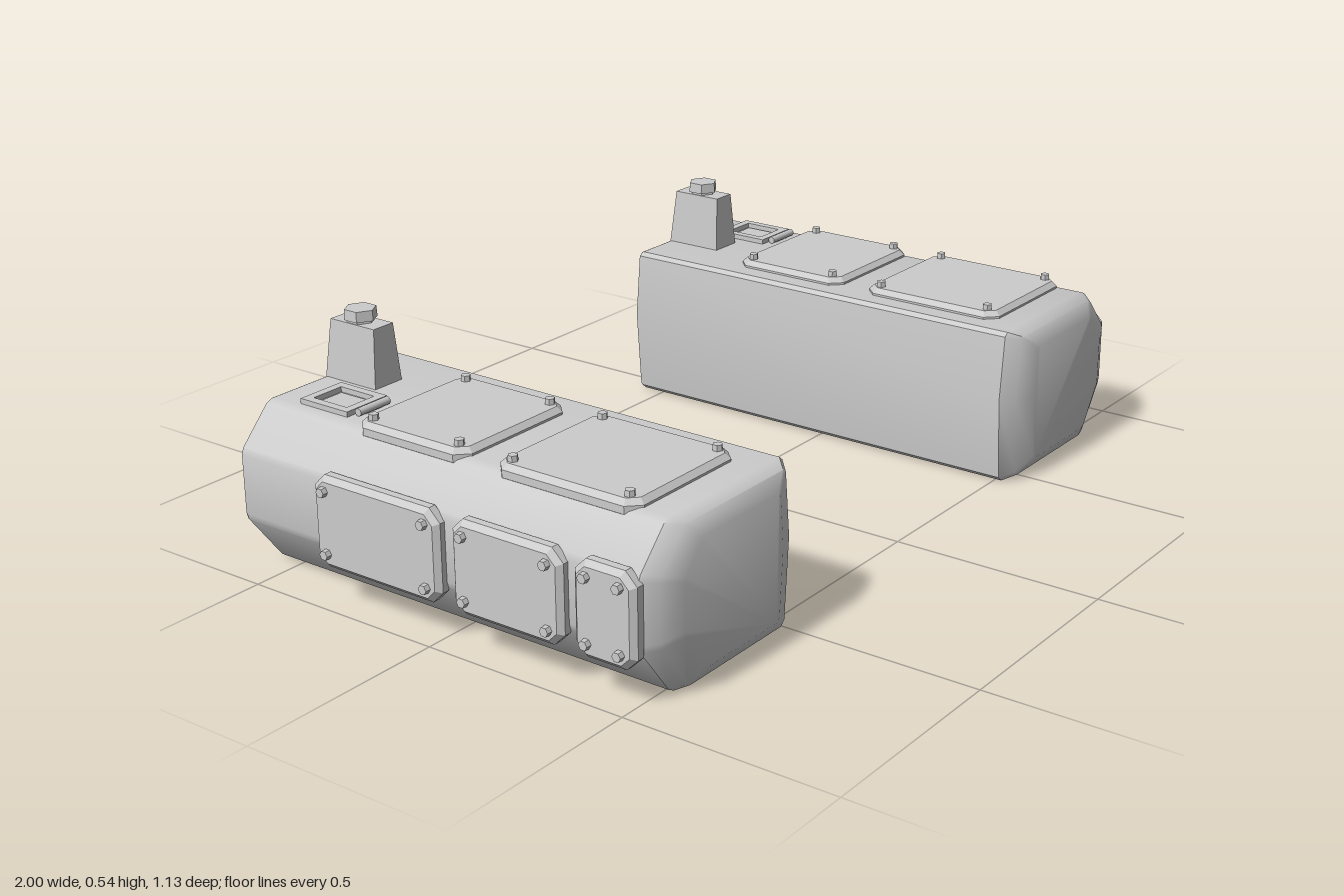
import * as THREE from 'three';
import { toCreasedNormals } from 'three/addons/utils/BufferGeometryUtils.js';

const grey = new THREE.MeshStandardMaterial({ color: 0xcccccc });

// Hull cross-section (x, y), counter-clockwise seen from the front
const SECTION = [
  [0.445, 0], [0.8, 0], [0.816, 0.008], [0.903, 0.123], [0.907, 0.138], [0.907, 0.275], [0.902, 0.289],
  [0.826, 0.369], [0.81, 0.376], [0.442, 0.376], [0.431, 0.367], [0.415, 0.21], [0.431, 0.012],
];
// Hull stations: z, x scale, y scale about the section centre
const STATIONS = [
  [-0.565, 0.988, 0.985], [-0.559, 1, 1], [0.515, 1, 1], [0.543, 0.88, 0.93], [0.564, 0.67, 0.76],
];

function hullGeometry() {
  const rings = STATIONS.map(([z, sx, sy]) =>
    SECTION.map(([x, y]) => [0.661 + (x - 0.661) * sx, 0.195 + (y - 0.195) * sy, z]));
  const n = SECTION.length, pos = [];
  const tri = (a, b, c) => pos.push(...a, ...b, ...c);
  for (let r = 0; r < rings.length - 1; r++) {
    for (let i = 0; i < n; i++) {
      const j = (i + 1) % n, a = rings[r], b = rings[r + 1];
      tri(a[i], a[j], b[j]);
      tri(a[i], b[j], b[i]);
    }
  }
  const back = rings[0], front = rings[rings.length - 1];
  for (let i = 1; i < n - 1; i++) {
    tri(front[0], front[i], front[i + 1]);
    tri(back[0], back[i + 1], back[i]);
  }
  const g = new THREE.BufferGeometry();
  g.setAttribute('position', new THREE.Float32BufferAttribute(pos, 3));
  return toCreasedNormals(g, 0.6);
}

// Plate with clipped corners and a bevelled rim, growing along +z from 0 to t
function plateGeometry(w, h, t, clip = 0.028) {
  const a = w / 2, b = h / 2, c = clip;
  const pts = [[-a + c, -b], [a - c, -b], [a, -b + c], [a, b - c], [a - c, b], [-a + c, b], [-a, b - c], [-a, -b + c]];
  const bevel = 0.012;
  const g = new THREE.ExtrudeGeometry(new THREE.Shape(pts.map(p => new THREE.Vector2(...p))), {
    depth: t - bevel, bevelEnabled: true, bevelThickness: bevel, bevelSize: bevel, bevelOffset: -bevel, bevelSegments: 1,
  });
  return g;
}

// Flat rectangular ring, growing along +z
function frameGeometry(w, h, rim, t) {
  const rect = (P, a, b) => new P([[-a, -b], [a, -b], [a, b], [-a, b]].map(p => new THREE.Vector2(...p)));
  const s = rect(THREE.Shape, w / 2, h / 2);
  s.holes.push(rect(THREE.Path, w / 2 - rim, h / 2 - rim));
  return new THREE.ExtrudeGeometry(s, { depth: t, bevelEnabled: false });
}

// Mirror in x and restore the winding
function mirrored(geometry) {
  const g = geometry.index ? geometry.toNonIndexed() : geometry.clone();
  g.scale(-1, 1, 1);
  for (const attr of Object.values(g.attributes)) {
    const s = attr.itemSize, d = attr.array;
    for (let i = 0; i < attr.count; i += 3) {
      for (let k = 0; k < s; k++) {
        const p = (i + 1) * s + k, q = (i + 2) * s + k;
        [d[p], d[q]] = [d[q], d[p]];
      }
    }
  }
  return g;
}

function createPod(name, isLeft) {
  const pod = new THREE.Group();
  pod.name = name;
  const add = (part, g, x = 0, y = 0, z = 0) => {
    g.translate(x, y, z);
    const mesh = new THREE.Mesh(isLeft ? g : mirrored(g), grey);
    mesh.name = part;
    pod.add(mesh);
  };
  const box = (w, h, d) => new THREE.BoxGeometry(w, h, d);
  const bolt = () => new THREE.CylinderGeometry(0.011, 0.012, 0.022, 6).toNonIndexed();
  const flat = g => { g.computeVertexNormals(); return g; };

  add('hull', hullGeometry());

  // Top access plates with corner bolts
  for (const [z0, z1] of [[0.085, 0.45], [-0.297, 0.01]]) {
    add('topPlate', plateGeometry(0.342, z1 - z0, 0.029).rotateX(-Math.PI / 2), 0.661, 0.364, (z0 + z1) / 2);
    for (const x of [0.518, 0.804])
      for (const z of [z0 + 0.034, z1 - 0.034]) add('topBolt', flat(bolt()), x, 0.395, z);
  }

  // Outer side plates with corner bolts
  for (const [z0, z1] of [[0.37, 0.522], [0.056, 0.342], [-0.327, 0.022]]) {
    add('sidePlate', plateGeometry(z1 - z0, 0.21, 0.03).rotateY(Math.PI / 2), 0.902, 0.194, (z0 + z1) / 2);
    for (const y of [0.124, 0.266])
      for (const z of [z0 + 0.035, z1 - 0.035]) add('sideBolt', flat(bolt().rotateZ(-Math.PI / 2)), 0.934, y, z);
  }

  // Tapered stack with hexagonal cap
  const stack = box(1, 0.15, 1), p = stack.attributes.position;
  for (let i = 0; i < p.count; i++) {
    const top = p.getY(i) > 0;
    p.setX(i, p.getX(i) * (top ? 0.06 : 0.086));
    p.setZ(i, p.getZ(i) * (top ? 0.13 : 0.152) + (top ? 0.003 : 0));
  }
  add('stack', flat(stack), 0.604, 0.435, -0.488);
  const cap = (r, h) => flat(new THREE.CylinderGeometry(r * 0.95, r, h, 6).toNonIndexed());
  add('stackCollar', cap(0.032, 0.02), 0.604, 0.512, -0.487);
  add('stackCap', cap(0.038, 0.024), 0.604, 0.528, -0.487);

  // Small hatch: rim, inner frame, panel and hinge rod
  add('hatchRim', frameGeometry(0.122, 0.138, 0.02, 0.016).rotateX(-Math.PI / 2), 0.738, 0.372, -0.416);
  add('hatchPanel', box(0.066, 0.006, 0.082), 0.738, 0.376, -0.416);
  add('hatchHinge', new THREE.CylinderGeometry(0.009, 0.009, 0.09, 10).rotateZ(Math.PI / 2), 0.738, 0.386, -0.33);
  add('hatchHingeArm', box(0.05, 0.008, 0.03), 0.738, 0.381, -0.342);

  if (isLeft) {
    // Vent housing on the outer side, upper front corner clipped
    const outline = [[0.353, 0.14], [0.563, 0.14], [0.563, 0.25], [0.374, 0.25], [0.353, 0.234]];
    const housing = new THREE.ExtrudeGeometry(new THREE.Shape(outline.map(q => new THREE.Vector2(...q))), {
      depth: 0.065, bevelEnabled: true, bevelThickness: 0.006, bevelSize: 0.006, bevelOffset: -0.006, bevelSegments: 1,
    });
    add('ventHousing', housing.rotateY(Math.PI / 2), 0.904, 0, 0);
    add('ventTab', box(0.03, 0.09, 0.016), 0.915, 0.195, -0.346);
    // Grille: frame and upright slats
    add('ventFrame', frameGeometry(0.13, 0.068, 0.008, 0.03).rotateY(Math.PI / 2), 0.968, 0.194, -0.468);
    for (let i = 0; i < 5; i++) add('ventSlat', box(0.018, 0.056, 0.009), 0.981, 0.194, -0.418 - i * 0.025);
  }
  return pod;
}

export function createModel() {
  const model = new THREE.Group();
  model.name = 'sidePods';
  const right = createPod('rightPod', false);
  right.position.x = -0.055;
  model.add(createPod('leftPod', true), right);
  return model;
}
